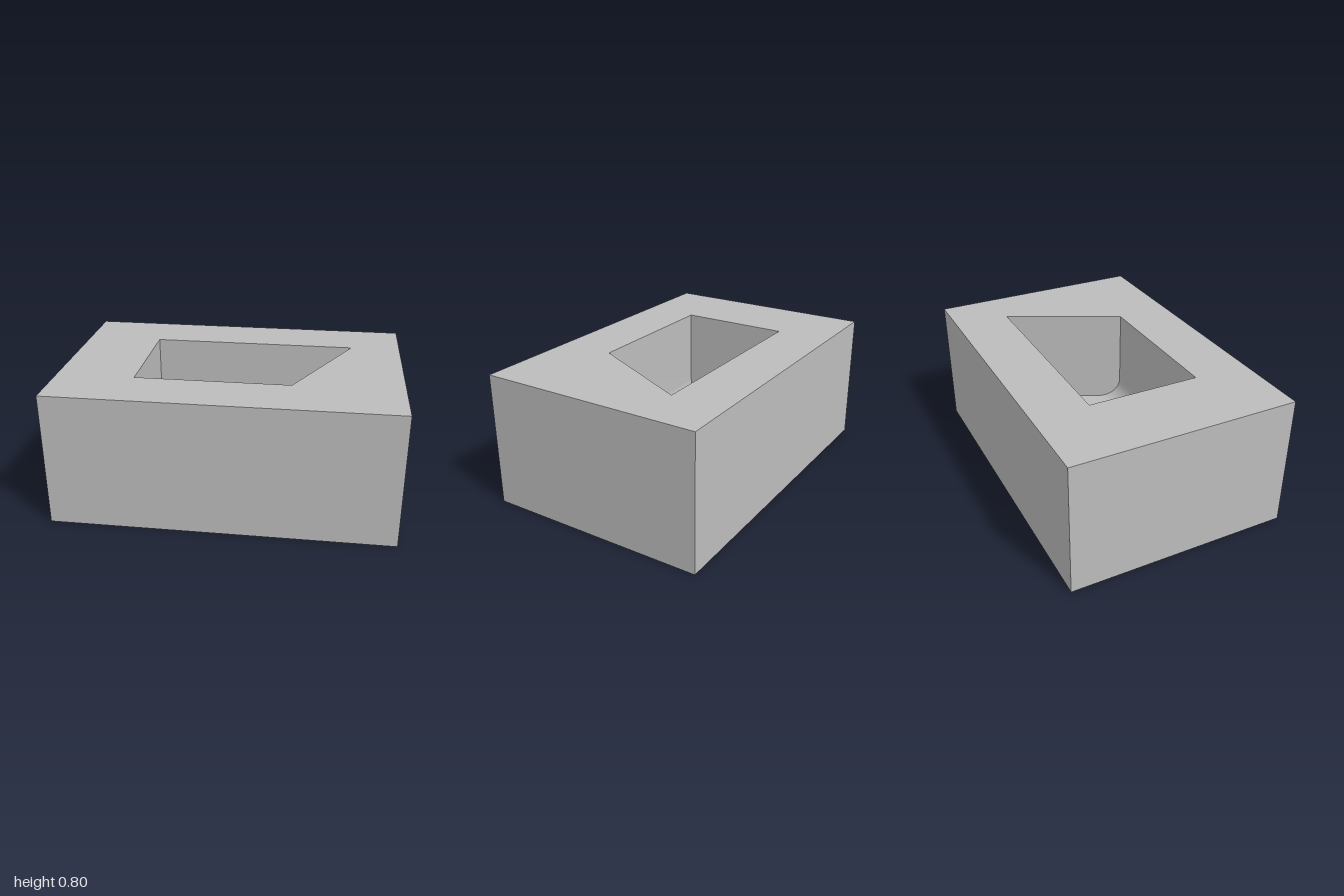
import * as THREE from 'three';
import { toCreasedNormals } from 'three/addons/utils/BufferGeometryUtils.js';

const W = 2, H = 0.8, D = 1.333;            // block size
const HALF = 0.333, LEFT = -0.54;           // pocket half depth in z, straight end in x
const FLOOR = 0.2, R = 0.133;               // pocket floor height, fillet radius
const slantX = z => 0.7 - (z + HALF) * 0.5; // slanted end of the pocket

export function createModel() {
  const grey = new THREE.MeshStandardMaterial({ color: 0xbcbcbc });
  grey.name = 'grey';
  const group = new THREE.Group();
  group.name = 'pocketBlock';
  const add = (name, geometry) => {
    const mesh = new THREE.Mesh(geometry, grey);
    mesh.name = name;
    group.add(mesh);
    return mesh;
  };

  // Outer walls and underside: a box with its top face left out
  const box = new THREE.BoxGeometry(W, H, D);
  const index = Array.from(box.index.array);
  index.splice(12, 6);
  box.setIndex(index);
  box.clearGroups();
  add('outerBlock', box).position.y = H / 2;

  // Top face with the trapezoid opening
  const outline = pts => pts.map(([x, z]) => new THREE.Vector2(x, -z));
  const top = new THREE.Shape(outline([
    [-W / 2, D / 2], [W / 2, D / 2], [W / 2, -D / 2], [-W / 2, -D / 2]]));
  top.holes.push(new THREE.Path(outline([
    [LEFT, -HALF], [slantX(-HALF), -HALF], [slantX(HALF), HALF], [LEFT, HALF]])));
  add('topFace', new THREE.ShapeGeometry(top).rotateX(-Math.PI / 2).translate(0, H, 0));

  // Pocket profile [z, y]: back wall, floor, fillet, front wall
  const profile = [[-HALF, H], [-HALF, FLOOR]];
  const steps = 16;
  for (let i = 0; i <= steps; i++) {
    const a = (i / steps) * Math.PI / 2;
    profile.push([HALF - R + R * Math.sin(a), FLOOR + R - R * Math.cos(a)]);
  }
  profile.push([HALF, H]);

  // Sweep the profile from the straight end to the slanted end, then close both ends
  const left = profile.map(([z, y]) => [LEFT, y, z]);
  const right = profile.map(([z, y]) => [slantX(z), y, z]);
  const positions = [];
  const tri = (a, b, c) => positions.push(...a, ...b, ...c);
  for (let i = 0; i < profile.length - 1; i++) {
    tri(left[i], left[i + 1], right[i + 1]);
    tri(left[i], right[i + 1], right[i]);
    if (i > 0) {
      tri(left[0], left[i + 1], left[i]);
      tri(right[0], right[i], right[i + 1]);
    }
  }
  const pocket = new THREE.BufferGeometry();
  pocket.setAttribute('position', new THREE.Float32BufferAttribute(positions, 3));
  add('pocket', toCreasedNormals(pocket, 0.4));

  return group;
}
